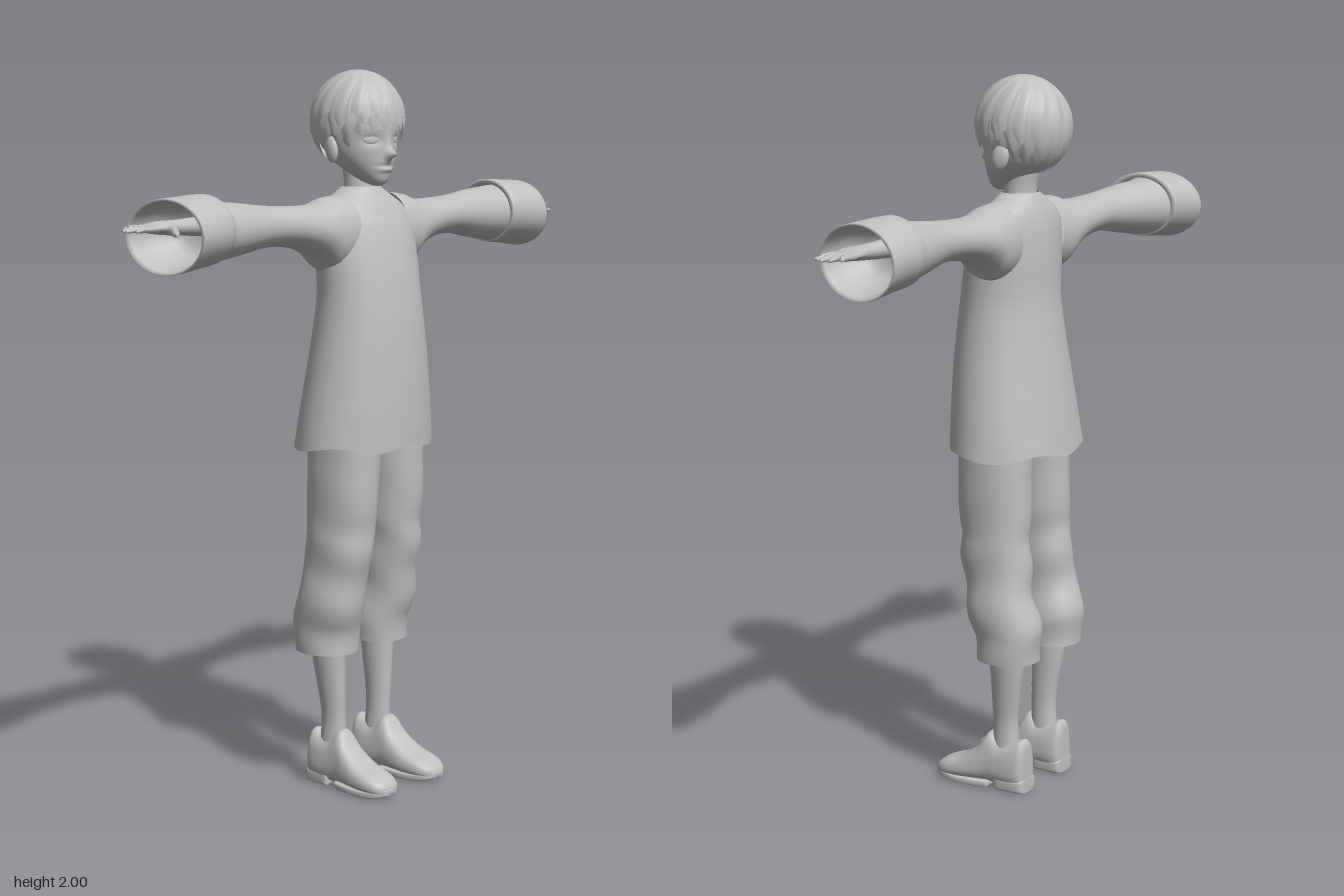
import * as THREE from 'three';

const clay = new THREE.MeshStandardMaterial({ color: 0xbfbfbf, side: THREE.DoubleSide });
clay.name = 'light grey';

// Smoothly fills in the rows between a few given cross-sections
function refine(rows, steps) {
  const out = [];
  for (let i = 0; i < rows.length - 1; i++) {
    const a = rows[Math.max(i - 1, 0)], b = rows[i], c = rows[i + 1], d = rows[Math.min(i + 2, rows.length - 1)];
    for (let k = 0; k < steps; k++) {
      const t = k / steps;
      out.push(b.map((_, j) => 0.5 * (2 * b[j] + (c[j] - a[j]) * t
        + (2 * a[j] - 5 * b[j] + 4 * c[j] - d[j]) * t * t + (3 * b[j] - a[j] - 3 * c[j] + d[j]) * t ** 3)));
    }
  }
  out.push(rows[rows.length - 1]);
  return out;
}

// Skins closed rings of points; caps optionally close the first and last ring
function skin(rings, capA, capB) {
  const n = rings[0].length, pos = [], index = [];
  rings.forEach(r => r.forEach(p => pos.push(...p)));
  for (let i = 0; i < rings.length - 1; i++) for (let j = 0; j < n; j++) {
    const a = i * n + j, b = i * n + (j + 1) % n;
    index.push(a, b, a + n, b, b + n, a + n);
  }
  const cap = (row, flip) => {
    const c = pos.length / 3;
    pos.push(...[0, 1, 2].map(k => rings[row].reduce((s, p) => s + p[k], 0) / n));
    for (let j = 0; j < n; j++) {
      const a = row * n + j, b = row * n + (j + 1) % n;
      index.push(...(flip ? [c, b, a] : [c, a, b]));
    }
  };
  if (capA) cap(0, true);
  if (capB) cap(rings.length - 1, false);
  const g = new THREE.BufferGeometry();
  g.setAttribute('position', new THREE.Float32BufferAttribute(pos, 3));
  g.setIndex(index);
  g.computeVertexNormals();
  return g;
}

// Loft along an axis; rows are [position, centre1, centre2, radius1, radius2]
function loft(axis, rows, { segs = 32, steps = 4, power = 2, capA = false, capB = false, rule = p => p } = {}) {
  const e = 2 / power, bend = v => Math.sign(v) * Math.abs(v) ** e;
  return skin(refine(rows, steps).map(([t, c1, c2, r1, r2]) => Array.from({ length: segs }, (_, j) => {
    const a = (axis === 'y' ? -1 : 1) * j / segs * Math.PI * 2;
    const u = c1 + r1 * bend(Math.cos(a)), v = c2 + r2 * bend(Math.sin(a));
    return rule(axis === 'y' ? [u, t, v] : axis === 'x' ? [t, u, v] : [u, v, t]);
  })), capA, capB);
}

function mirrored(g) {
  const m = g.clone().scale(-1, 1, 1), id = m.index.array;
  for (let i = 0; i < id.length; i += 3) [id[i], id[i + 1]] = [id[i + 1], id[i]];
  m.computeVertexNormals();
  return m;
}

// Tapered round rod between two points
function rod(a, b, ra, rb) {
  const A = new THREE.Vector3(...a), B = new THREE.Vector3(...b), d = B.clone().sub(A);
  const g = new THREE.CylinderGeometry(rb, ra, d.length(), 10);
  g.applyQuaternion(new THREE.Quaternion().setFromUnitVectors(new THREE.Vector3(0, 1, 0), d.normalize()));
  return g.translate(...A.add(B).multiplyScalar(0.5).toArray());
}

// Layer of hair: an ellipsoid cut by a jagged hem and grooved into locks
function hairLayer(size, lift, locks, phase) {
  const hem = [[0, 1.85], [40, 1.84], [65, 1.79], [88, 1.825], [120, 1.775], [180, 1.745]];
  const rings = [], N = 192, M = 22;
  for (let i = 0; i <= M; i++) {
    const v = i / M, ring = [];
    for (let j = 0; j < N; j++) {
      const phi = j / N * Math.PI * 2, deg = Math.min(phi, Math.PI * 2 - phi) * 180 / Math.PI;
      const k = Math.min(hem.findIndex(h => h[0] >= deg && h[0] > 0), hem.length - 1) - 1;
      const f = (deg - hem[k][0]) / (hem[k + 1][0] - hem[k][0]);
      const saw = Math.abs(((phi / (Math.PI * 2) * locks + phase) % 1) * 2 - 1);
      const y = hem[k][1] + (hem[k + 1][1] - hem[k][1]) * f + lift + 0.03 * (saw - 0.5);
      const th = v * Math.acos((y - 1.86) / 0.14) + 0.001;
      const r = size * (1 + 0.045 * Math.sin(Math.PI * Math.min(v, 0.75)) * (0.35 - saw));
      const turn = phi + 0.12 * Math.sin(v * 5 + phase);
      ring.push([0.123 * r * Math.sin(th) * Math.sin(turn), 1.86 + 0.139 * size * Math.cos(th),
        -0.028 + 0.136 * r * Math.sin(th) * Math.cos(turn)]);
    }
    rings.push(ring);
  }
  return skin(rings);
}

export function createModel() {
  const model = new THREE.Group();
  model.name = 'figure';
  const add = (name, geometry) => {
    const m = new THREE.Mesh(geometry, clay);
    m.name = name;
    model.add(m);
  };
  const pair = (name, g) => { add('left' + name, g); add('right' + name, mirrored(g)); };

  // Tunic body, open at the hem
  add('tunic', loft('y', [
    [0.975, 0, -0.008, 0.222, 0.167], [1.08, 0, 0, 0.208, 0.16], [1.2, 0, 0.008, 0.19, 0.149],
    [1.3, 0, 0.012, 0.176, 0.137], [1.4, 0, 0.012, 0.168, 0.123], [1.5, 0, 0.003, 0.172, 0.112],
    [1.58, 0, -0.006, 0.172, 0.098], [1.63, 0, -0.014, 0.148, 0.08], [1.66, 0, -0.018, 0.102, 0.064],
    [1.685, 0, -0.018, 0.056, 0.05]], {
    segs: 64, rule: ([x, y, z]) => [x, y + (y < 1 ? 0.008 * Math.sin(Math.atan2(z, x) * 5) : 0), z] }));

  // Sleeves
  pair('Sleeve', loft('x', [
    [0.1, 1.56, -0.01, 0.105, 0.085], [0.16, 1.559, -0.014, 0.1, 0.086], [0.2, 1.57, -0.016, 0.075, 0.084],
    [0.25, 1.58, -0.018, 0.061, 0.077], [0.32, 1.588, -0.02, 0.054, 0.07], [0.4, 1.591, -0.022, 0.056, 0.066],
    [0.5, 1.588, -0.03, 0.07, 0.08], [0.62, 1.583, -0.04, 0.083, 0.1]]));

  // Wide turned-back cuffs with hollow inner walls
  pair('Cuff', loft('x', [
    [0.6, 1.59, -0.04, 0.08, 0.095], [0.598, 1.592, -0.04, 0.092, 0.112], [0.66, 1.587, -0.036, 0.094, 0.119],
    [0.735, 1.58, -0.034, 0.097, 0.126], [0.733, 1.58, -0.034, 0.09, 0.118], [0.66, 1.588, -0.036, 0.083, 0.104],
    [0.6, 1.59, -0.038, 0.05, 0.06]], {
    steps: 2, segs: 40, capB: true, rule: ([x, y, z]) => [x - 0.1 * (z + 0.034), y, z] }));

  // Hands
  pair('Hand', loft('x', [
    [0.6, 1.603, -0.035, 0.026, 0.03], [0.7, 1.603, -0.035, 0.02, 0.025], [0.76, 1.605, -0.035, 0.017, 0.038],
    [0.8, 1.604, -0.037, 0.01, 0.036], [0.81, 1.603, -0.037, 0.005, 0.03]], { segs: 20, capB: true }));
  [[-0.064, 0.846, -0.072], [-0.046, 0.868, -0.05], [-0.028, 0.875, -0.029], [-0.01, 0.862, -0.007]].forEach(([z, tip, tz], i) => {
    const mid = [0.835, 1.605, (z + tz) / 2];
    pair('Finger' + (i + 1), rod([0.785, 1.604, z], mid, 0.01, 0.0085));
    pair('Fingertip' + (i + 1), rod(mid, [tip, 1.6, tz], 0.0085, 0.003));
  });
  pair('Thumb', rod([0.73, 1.602, -0.02], [0.763, 1.594, 0.03], 0.016, 0.01));
  pair('ThumbTip', rod([0.763, 1.594, 0.03], [0.785, 1.588, 0.06], 0.01, 0.004));

  // Trousers
  add('hips', loft('y', [[0.96, 0, 0, 0.1, 0.07], [1.0, 0, 0, 0.165, 0.105], [1.15, 0, 0, 0.16, 0.1]],
    { capA: true, capB: true }));
  pair('TrouserLeg', loft('y', [
    [0.39, 0.104, -0.054, 0.081, 0.089], [0.45, 0.108, -0.051, 0.083, 0.097], [0.5, 0.111, -0.043, 0.083, 0.1],
    [0.6, 0.11, -0.02, 0.076, 0.098], [0.7, 0.102, -0.008, 0.077, 0.101], [0.8, 0.099, -0.002, 0.081, 0.104],
    [0.95, 0.094, 0.001, 0.085, 0.107], [1.05, 0.09, 0, 0.085, 0.1]], {
    power: 2.2, rule: ([x, y, z]) => {
      const fold = 0.004 * Math.sin(y * 38 + z * 12) * (y < 0.75 ? 1 : 0.3);
      return [x + fold, y, z + fold];
    } }));

  // Lower legs
  pair('Shin', loft('y', [
    [0.08, 0.097, -0.04, 0.036, 0.045], [0.18, 0.097, -0.036, 0.029, 0.038], [0.25, 0.1, -0.038, 0.031, 0.041],
    [0.4, 0.107, -0.046, 0.042, 0.054], [0.55, 0.108, -0.03, 0.048, 0.058]]));

  // Shoes: uppers narrowing toward the ankle, soles and heels
  pair('Shoe', loft('z', [
    [-0.11, 0.096, 0.075, 0.025, 0.055], [-0.1, 0.096, 0.08, 0.042, 0.073], [-0.07, 0.096, 0.077, 0.049, 0.068],
    [-0.03, 0.097, 0.076, 0.05, 0.066], [0.005, 0.098, 0.088, 0.051, 0.077], [0.04, 0.1, 0.066, 0.054, 0.054],
    [0.09, 0.102, 0.046, 0.056, 0.036], [0.14, 0.104, 0.036, 0.052, 0.027], [0.17, 0.104, 0.028, 0.037, 0.019],
    [0.181, 0.104, 0.023, 0.018, 0.009]], {
    segs: 36, power: 2.6, capA: true, capB: true,
    rule: ([x, y, z]) => [0.1 + (x - 0.1) * (1.06 - 2.2 * Math.max(y - 0.03, 0)), y, z] }));
  pair('Sole', loft('z', [[0.0, 0.098, 0.012, 0.046, 0.01], [0.05, 0.101, 0.011, 0.055, 0.011],
    [0.11, 0.103, 0.011, 0.057, 0.011], [0.16, 0.104, 0.016, 0.045, 0.011], [0.183, 0.104, 0.021, 0.02, 0.009]],
    { power: 5, capA: true, capB: true }));
  pair('Heel', loft('z', [[-0.112, 0.096, 0.02, 0.026, 0.02], [-0.1, 0.096, 0.02, 0.042, 0.02],
    [-0.025, 0.097, 0.02, 0.046, 0.02]], { power: 5, capA: true, capB: true }));

  // Neck
  add('neck', loft('y', [[1.62, 0, -0.022, 0.055, 0.05], [1.69, 0, -0.02, 0.045, 0.044], [1.78, 0, -0.03, 0.047, 0.05]]));

  // Head with nose, lips and eye sockets raised by a rule
  const bump = (x, y, cx, cy, wx, wy) => Math.exp(-(((x - cx) / wx) ** 2) - ((y - cy) / wy) ** 2);
  add('head', loft('y', [
    [1.688, 0, 0.042, 0.014, 0.014], [1.7, 0, 0.031, 0.036, 0.038], [1.725, 0, 0.013, 0.062, 0.063],
    [1.76, 0, -0.01, 0.088, 0.09], [1.8, 0, -0.022, 0.103, 0.104], [1.86, 0, -0.028, 0.111, 0.111],
    [1.92, 0, -0.035, 0.098, 0.098], [1.965, 0, -0.035, 0.06, 0.06]], {
    segs: 96, steps: 8, capA: true, capB: true,
    rule: ([x, y, z]) => [x, y, z < 0.02 ? z : z + 0.026 * bump(x, y, 0, 1.772, 0.011, 0.014)
      + 0.009 * bump(x, y, 0, 1.795, 0.009, 0.02) + 0.006 * bump(x, y, 0, 1.731, 0.024, 0.006)
      - 0.004 * bump(x, y, 0, 1.741, 0.03, 0.004) - 0.008 * bump(Math.abs(x), y, 0.05, 1.812, 0.026, 0.014)] }));
  pair('Ear', new THREE.SphereGeometry(1, 16, 12).scale(0.013, 0.036, 0.024).rotateX(-0.2).rotateY(0.25).translate(0.11, 1.786, -0.028));

  // Eyes and brows
  pair('Eye', new THREE.SphereGeometry(1, 20, 12).scale(0.023, 0.012, 0.004).rotateY(0.5).translate(0.05, 1.812, 0.0625));
  pair('Brow', rod([0.026, 1.838, 0.08], [0.075, 1.84, 0.055], 0.003, 0.002));

  // Hair in overlapping layers
  add('hairUnder', hairLayer(0.985, 0, 23, 0.2));
  add('hairMiddle', hairLayer(1.0, 0.028, 19, 0.6));
  add('hairTop', hairLayer(1.012, 0.062, 15, 0.35));
  return model;
}
